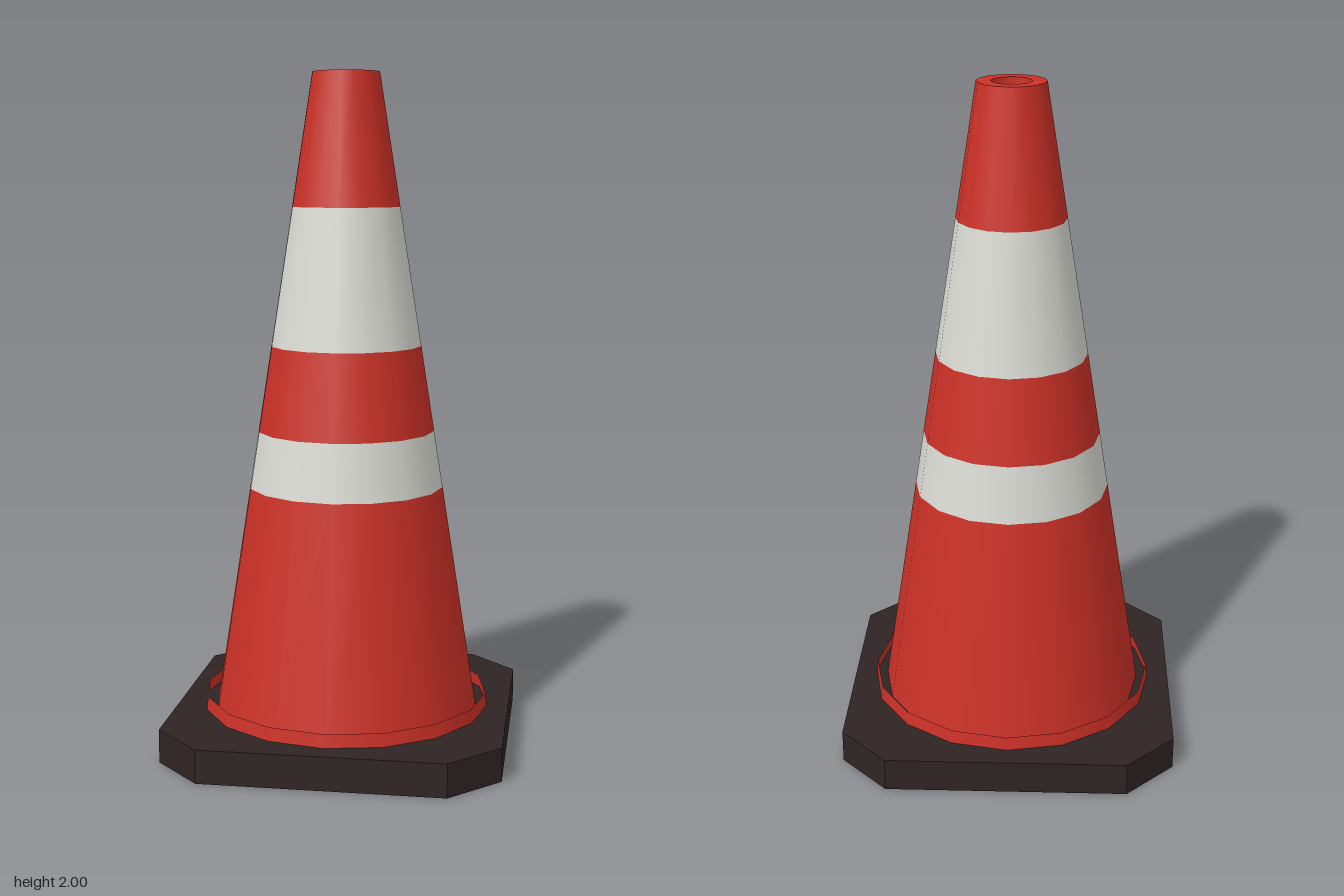
import * as THREE from 'three';

const SIDES = 16;

export function createModel() {
  const model = new THREE.Group();
  const orange = new THREE.MeshStandardMaterial({ color: 0xcc3127, side: THREE.DoubleSide });
  orange.name = 'red orange plastic';
  const white = new THREE.MeshStandardMaterial({ color: 0xdadbd3, side: THREE.DoubleSide });
  white.name = 'reflective white';
  const rubber = new THREE.MeshStandardMaterial({ color: 0x2f2424 });
  rubber.name = 'dark rubber';

  const add = (name, geometry, material, y = 0) => {
    const mesh = new THREE.Mesh(geometry, material);
    mesh.name = name;
    mesh.position.y = y;
    model.add(mesh);
    return mesh;
  };
  // Open tapered tube between two heights
  const tube = (name, y0, y1, r0, r1, material) =>
    add(name, new THREE.CylinderGeometry(r1, r0, y1 - y0, SIDES, 1, true), material, (y0 + y1) / 2);

  // Square base plate with cut corners
  const h = 0.5, c = 0.357;
  const outline = new THREE.Shape(
    [[h, -c], [h, c], [c, h], [-c, h], [-h, c], [-h, -c], [-c, -h], [c, -h]]
      .map(([x, y]) => new THREE.Vector2(x, y)));
  const base = new THREE.ExtrudeGeometry(outline, { depth: 0.1, bevelEnabled: false });
  base.rotateX(-Math.PI / 2);
  add('base', base, rubber);

  // Thin raised collar around the foot of the cone
  tube('collar', 0.1, 0.14, 0.435, 0.43, orange);

  // Cone body, split into coloured bands along one slope
  const radius = (y) => 0.4 - 0.3 * (y - 0.1) / 1.9;
  const levels = [0.1, 0.775, 0.945, 1.2, 1.61, 2];
  const names = ['lowerBody', 'lowerStripe', 'middleBody', 'upperStripe', 'upperBody'];
  names.forEach((name, i) => {
    const [y0, y1] = [levels[i], levels[i + 1]];
    tube(name, y0, y1, radius(y0), radius(y1), i % 2 ? white : orange);
  });

  // Flat rim with a recessed hole
  const rim = new THREE.RingGeometry(0.058, 0.1, SIDES);
  rim.rotateX(-Math.PI / 2);
  add('rim', rim, orange, 2);
  tube('holeWall', 1.97, 2, 0.058, 0.058, orange);
  const floor = new THREE.CircleGeometry(0.058, SIDES);
  floor.rotateX(-Math.PI / 2);
  add('holeFloor', floor, rubber, 1.97);

  return model;
}
